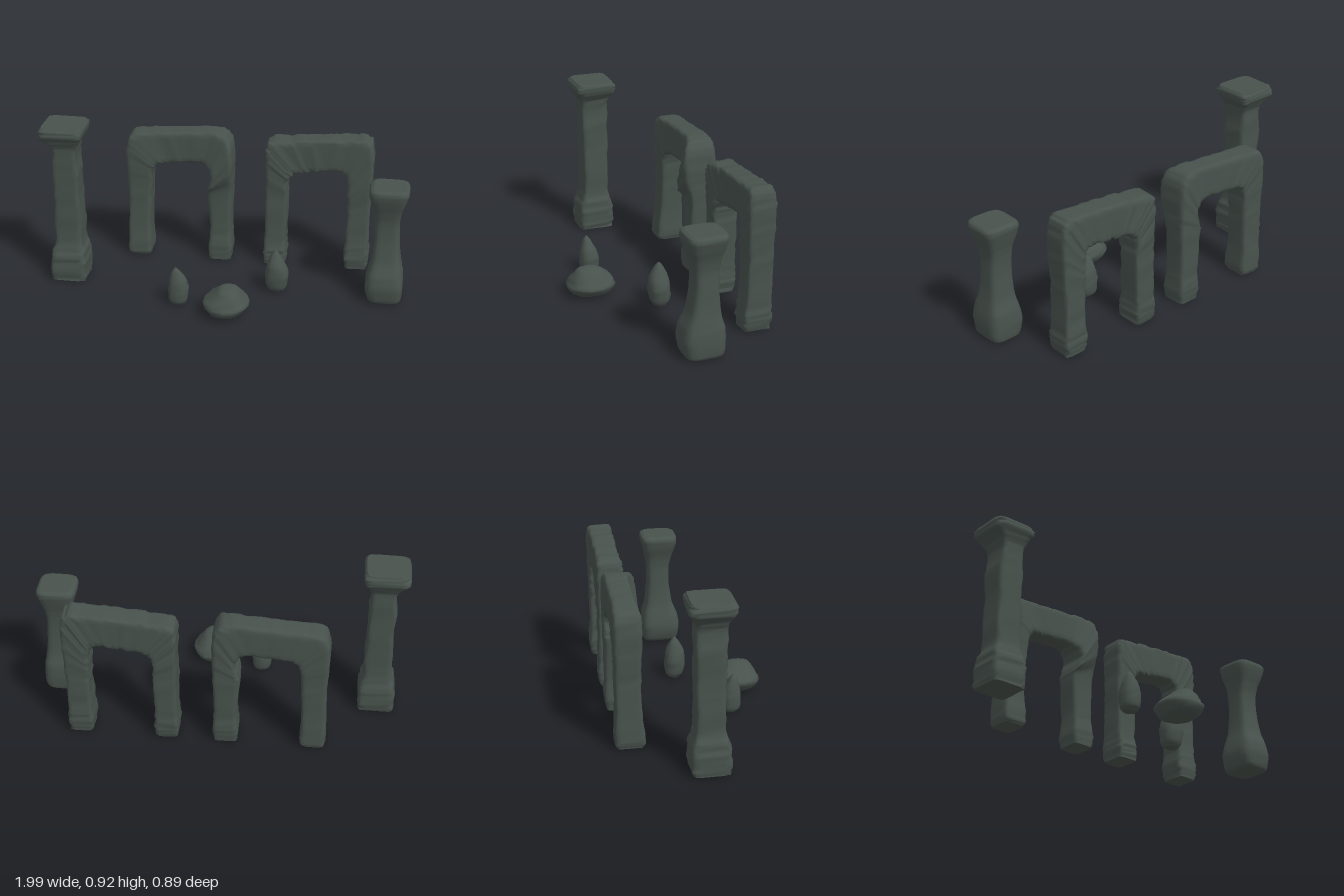
import * as THREE from 'three';

const stone = new THREE.MeshStandardMaterial({ color: 0x48524d });
stone.name = 'dark weathered stone';

// Small repeatable noise for worn surfaces
function seeded(seed) {
  return () => {
    seed = (seed * 16807) % 2147483647;
    return seed / 2147483647 - 0.5;
  };
}

// Lofts a rounded block through stations [x1, y1, x2, y2, zBack, zFront]:
// point 1 is the left/outer edge, point 2 the right/inner edge.
function worn(name, stations, { rows = 40, segs = 20, square = 0.35, rough = 0.06, seed = 7 } = {}) {
  const rand = seeded(seed * 7919);
  const curve = (a, b) => new THREE.CatmullRomCurve3(
    stations.map((s) => new THREE.Vector3(s[a], s[b], 0)), false, 'catmullrom', 0.4);
  const outer = curve(0, 1), inner = curve(2, 3), depth = curve(4, 5);
  const pos = [], idx = [];
  const soft = (v) => Math.sign(v) * Math.abs(v) ** square;

  for (let i = 0; i <= rows; i++) {
    const t = i / rows;
    const o = outer.getPoint(t), n = inner.getPoint(t), d = depth.getPoint(t);
    const wave = Math.sin(i * 1.1 + seed) * 0.35 + Math.sin(i * 2.3 + seed * 2) * 0.25;
    for (let j = 0; j < segs; j++) {
      const a = ((j + 0.5) / segs) * Math.PI * 2;
      const k = 1 + rough * (rand() + wave * Math.sin(a * 2 + seed + i * 0.15));
      const u = soft(Math.cos(a)) * k, w = soft(Math.sin(a)) * k;
      const p = o.clone().lerp(n, (1 + u) / 2);
      pos.push(p.x, p.y, d.x + (d.y - d.x) * (1 + w) / 2);
    }
  }
  for (let i = 0; i < rows; i++) {
    for (let j = 0; j < segs; j++) {
      const a = i * segs + j, b = i * segs + (j + 1) % segs;
      idx.push(a, a + segs, b, b, a + segs, b + segs);
    }
  }
  // End caps with their own corners, so the rims stay sharp
  for (const end of [0, rows]) {
    const first = pos.length / 3, c = [0, 0, 0];
    for (let j = 0; j < segs; j++) {
      for (let m = 0; m < 3; m++) {
        const v = pos[(end * segs + j) * 3 + m];
        pos.push(v);
        c[m] += v / segs;
      }
    }
    pos.push(...c);
    for (let j = 0; j < segs; j++) {
      const a = first + j, b = first + (j + 1) % segs;
      if (end) idx.push(first + segs, b, a);
      else idx.push(first + segs, a, b);
    }
  }
  const geo = new THREE.BufferGeometry();
  geo.setAttribute('position', new THREE.Float32BufferAttribute(pos, 3));
  geo.setIndex(idx);
  geo.computeVertexNormals();
  const mesh = new THREE.Mesh(geo, stone);
  mesh.name = name;
  return mesh;
}

// Upright block from rows [y, xLeft, xRight, zBack, zFront]
const upright = (name, rows, options) =>
  worn(name, rows.map(([y, l, r, b, f]) => [l, y, r, y, b, f]), options);

export function createModel() {
  const group = new THREE.Group();
  group.name = 'stone ruins';

  // Tall column with square base and flared capital
  group.add(upright('tallColumn', [
    [0.015, -0.965, -0.775, -0.1, 0.095],
    [0.06, -0.97, -0.77, -0.105, 0.1],
    [0.13, -0.965, -0.77, -0.105, 0.1],
    [0.18, -0.96, -0.775, -0.095, 0.09],
    [0.24, -0.94, -0.79, -0.08, 0.07],
    [0.38, -0.94, -0.79, -0.08, 0.07],
    [0.52, -0.935, -0.795, -0.08, 0.07],
    [0.66, -0.94, -0.795, -0.082, 0.075],
    [0.78, -0.93, -0.8, -0.082, 0.078],
    [0.83, -0.96, -0.785, -0.095, 0.09],
    [0.87, -0.995, -0.76, -0.122, 0.112],
    [0.905, -0.995, -0.755, -0.12, 0.112],
    [0.925, -0.98, -0.77, -0.11, 0.1],
  ], { rows: 48, square: 0.27, rough: 0.07, seed: 3 }));

  // Short smooth pillar, waisted
  group.add(upright('shortPillar', [
    [0.012, 0.815, 0.965, -0.09, 0.09],
    [0.03, 0.795, 0.98, -0.1, 0.108],
    [0.1, 0.78, 0.985, -0.105, 0.12],
    [0.17, 0.79, 0.98, -0.1, 0.11],
    [0.25, 0.81, 0.965, -0.08, 0.08],
    [0.36, 0.818, 0.955, -0.07, 0.062],
    [0.47, 0.818, 0.95, -0.07, 0.06],
    [0.54, 0.81, 0.96, -0.08, 0.075],
    [0.6, 0.79, 0.98, -0.095, 0.095],
    [0.645, 0.78, 0.993, -0.105, 0.106],
    [0.668, 0.785, 0.99, -0.102, 0.102],
    [0.678, 0.805, 0.975, -0.085, 0.085],
  ], { square: 0.45, rough: 0.02, seed: 5 }));

  // Left arch, with a swollen shoulder on its right leg
  group.add(worn('leftArch', [
    [-0.6, 0.015, -0.48, 0.015, -0.43, -0.29],
    [-0.608, 0.05, -0.47, 0.05, -0.44, -0.28],
    [-0.605, 0.2, -0.475, 0.2, -0.435, -0.295],
    [-0.6, 0.38, -0.468, 0.38, -0.435, -0.3],
    [-0.608, 0.54, -0.462, 0.5, -0.438, -0.295],
    [-0.605, 0.69, -0.445, 0.56, -0.44, -0.29],
    [-0.57, 0.755, -0.41, 0.583, -0.44, -0.295],
    [-0.45, 0.77, -0.36, 0.588, -0.435, -0.305],
    [-0.3, 0.78, -0.28, 0.595, -0.435, -0.305],
    [-0.12, 0.79, -0.18, 0.6, -0.435, -0.3],
    [-0.035, 0.77, -0.135, 0.57, -0.44, -0.27],
    [-0.002, 0.7, -0.12, 0.52, -0.44, -0.25],
    [0, 0.56, -0.14, 0.46, -0.44, -0.26],
    [-0.003, 0.45, -0.145, 0.41, -0.438, -0.295],
    [-0.01, 0.2, -0.13, 0.2, -0.435, -0.298],
    [-0.002, 0.09, -0.14, 0.09, -0.44, -0.285],
    [-0.01, 0.015, -0.135, 0.015, -0.43, -0.29],
  ], { rows: 90, square: 0.3, rough: 0.055, seed: 11 }));

  // Right arch, rougher, with forward-set feet
  group.add(worn('rightArch', [
    [0.185, 0.015, 0.305, 0.015, -0.43, -0.28],
    [0.18, 0.08, 0.31, 0.08, -0.44, -0.275],
    [0.185, 0.17, 0.305, 0.17, -0.437, -0.29],
    [0.187, 0.4, 0.312, 0.39, -0.435, -0.298],
    [0.185, 0.58, 0.31, 0.5, -0.438, -0.295],
    [0.183, 0.7, 0.325, 0.55, -0.44, -0.29],
    [0.21, 0.752, 0.355, 0.572, -0.44, -0.295],
    [0.33, 0.765, 0.41, 0.58, -0.435, -0.3],
    [0.48, 0.78, 0.49, 0.59, -0.435, -0.3],
    [0.66, 0.79, 0.59, 0.6, -0.435, -0.3],
    [0.75, 0.79, 0.635, 0.575, -0.44, -0.295],
    [0.782, 0.73, 0.645, 0.52, -0.44, -0.29],
    [0.783, 0.58, 0.645, 0.45, -0.438, -0.29],
    [0.775, 0.38, 0.65, 0.36, -0.435, -0.298],
    [0.775, 0.17, 0.645, 0.17, -0.436, -0.29],
    [0.78, 0.08, 0.64, 0.08, -0.44, -0.278],
    [0.77, 0.015, 0.65, 0.015, -0.43, -0.285],
  ], { rows: 100, square: 0.27, rough: 0.085, seed: 17 }));

  // Loose rocks in front of the arches
  const rock = { rows: 16, segs: 14, square: 0.85, rough: 0.07 };
  group.add(upright('smallPointedRock', [
    [0.01, -0.25, -0.18, 0.2, 0.265],
    [0.035, -0.268, -0.165, 0.185, 0.285],
    [0.1, -0.27, -0.16, 0.18, 0.288],
    [0.15, -0.265, -0.17, 0.195, 0.28],
    [0.2, -0.25, -0.2, 0.222, 0.265],
    [0.225, -0.232, -0.222, 0.24, 0.25],
  ], { ...rock, seed: 23 }));
  group.add(upright('broadRock', [
    [0.02, 0.0, 0.11, 0.25, 0.375],
    [0.035, -0.035, 0.15, 0.21, 0.42],
    [0.075, -0.062, 0.18, 0.185, 0.445],
    [0.105, -0.05, 0.165, 0.195, 0.43],
    [0.145, 0.0, 0.135, 0.235, 0.405],
    [0.168, 0.025, 0.11, 0.27, 0.385],
    [0.175, 0.05, 0.08, 0.3, 0.35],
  ], { ...rock, segs: 18, seed: 29 }));
  group.add(upright('tallPointedRock', [
    [0.01, 0.255, 0.335, -0.03, 0.035],
    [0.035, 0.238, 0.35, -0.048, 0.055],
    [0.1, 0.23, 0.36, -0.052, 0.066],
    [0.16, 0.238, 0.345, -0.045, 0.06],
    [0.22, 0.26, 0.31, -0.022, 0.032],
    [0.247, 0.28, 0.292, 0.0, 0.012],
  ], { ...rock, seed: 31 }));

  return group;
}
